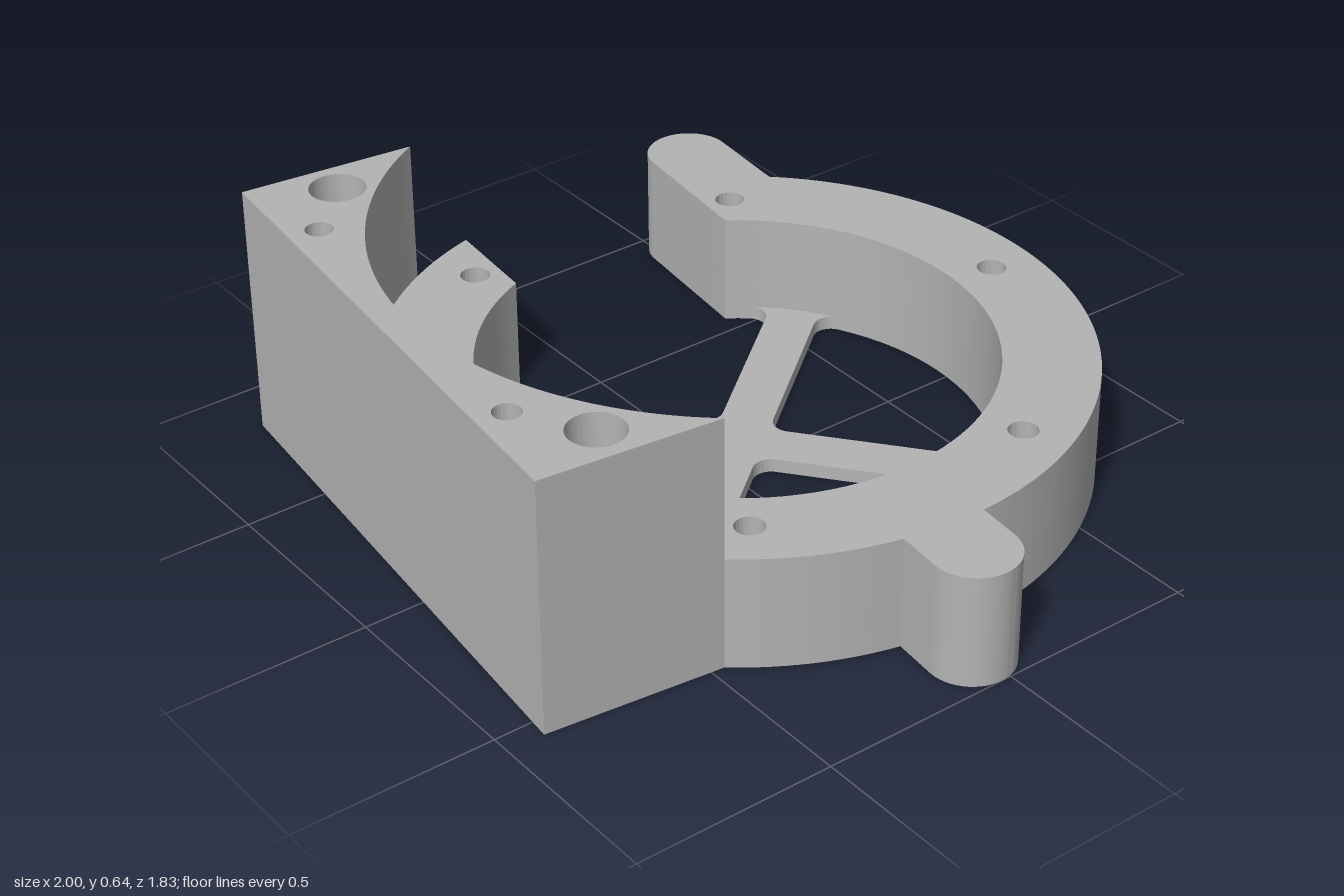
import * as THREE from 'three';
import { toCreasedNormals } from 'three/addons/utils/BufferGeometryUtils.js';

// Outlines are drawn in plan, with shape y = -z, then extruded upwards.
const CX = -0.05, CY = 0.075;      // ring centre in plan
const OUTER = 0.845, INNER = 0.615;
const RING_H = 0.285, BLOCK_H = 0.64, SPOKE_H = 0.035;
const LUG_R = 0.105;
const rad = THREE.MathUtils.degToRad;

const ringHoles = [[0.027, 0.797], [-0.632, 0.503], [0.613, 0.37], [0.534, -0.348], [-0.128, -0.643], [-0.712, -0.215]];
const lugCentres = [[0.895, -0.025], [-0.895, 0.572]];
const boltHoles = [[-0.725, -0.572], [0.472, -0.7]];
const pinHoles = [[-0.585, -0.708], [0.304, -0.806]];

function addHoles(shape, centres, r) {
  for (const [x, y] of centres) {
    const hole = new THREE.Path();
    hole.absarc(x, y, r, 0, Math.PI * 2, true);
    shape.holes.push(hole);
  }
  return shape;
}

// Open ring with a rounded lug on either side
function ringOutline() {
  const s = new THREE.Shape();
  const [right, left] = lugCentres;
  s.absarc(CX, CY, OUTER, rad(194.5), rad(346.8), false);
  s.absarc(right[0], right[1], LUG_R, rad(-96.1), rad(83.9), false);
  s.absarc(CX, CY, OUTER, rad(1), rad(136.6), false);
  s.absarc(left[0], left[1], LUG_R, rad(83.9), rad(263.9), false);
  s.absarc(CX, CY, INNER, rad(145), rad(-157.6), true);
  s.closePath();
  return s;
}

// Tilted block with a concave side hugging the ring
function blockOutline() {
  const s = new THREE.Shape();
  s.moveTo(-0.842, -0.757);
  s.lineTo(0.55, -0.908);
  s.absarc(CX, CY, OUTER, rad(-39.9), rad(-151.5), true);
  s.closePath();
  return s;
}

// Four spokes with fillets at the hub and where they meet the ring
function spokesOutline() {
  const s = new THREE.Shape();
  const w = 0.062, f = 0.045, c = w + f;
  const u = Math.sqrt((INNER - f) ** 2 - c ** 2);
  const flare = Math.atan2(c, u);
  for (let i = 0; i < 4; i++) {
    const a = rad(38.5 + 90 * i);
    const at = (x, y) => [CX + x * Math.cos(a) - y * Math.sin(a), CY + x * Math.sin(a) + y * Math.cos(a)];
    const q = Math.PI / 2;
    s.absarc(...at(u, -c), f, a + q, a - flare, true);
    s.absarc(CX, CY, INNER + 0.002, a - flare, a + flare, false);
    s.absarc(...at(u, c), f, a + flare, a - q, true);
    s.absarc(...at(c, c), f, a - q, a - 2 * q, true);
  }
  s.closePath();
  return s;
}

export function createModel() {
  const model = new THREE.Group();
  model.name = 'mountingBracket';
  const grey = new THREE.MeshStandardMaterial({ color: 0xb4b4b4 });
  grey.name = 'grey';

  function addLayer(name, shape, y0, y1) {
    const geo = new THREE.ExtrudeGeometry(shape, { depth: y1 - y0, bevelEnabled: false, curveSegments: 48 });
    geo.rotateX(-Math.PI / 2);
    geo.translate(0, y0, 0);
    const mesh = new THREE.Mesh(toCreasedNormals(geo, 0.5), grey);
    mesh.name = name;
    model.add(mesh);
  }

  // Ring: counterbores and blind lug holes underneath, narrow holes through the top
  const ringLower = addHoles(addHoles(ringOutline(), ringHoles, 0.057), lugCentres, 0.03);
  addLayer('ringLower', ringLower, 0, 0.12);
  addLayer('ringUpper', addHoles(ringOutline(), ringHoles, 0.036), 0.12, RING_H);

  // Block: through bolt holes, counterbored from the top beside blind pin holes
  addLayer('blockLower', addHoles(blockOutline(), boltHoles, 0.036), 0, 0.52);
  const blockUpper = addHoles(addHoles(blockOutline(), boltHoles, 0.067), pinHoles, 0.033);
  addLayer('blockUpper', blockUpper, 0.52, BLOCK_H);

  // Thin cross bracing flush with the underside
  addLayer('spokes', spokesOutline(), 0, SPOKE_H);
  return model;
}
